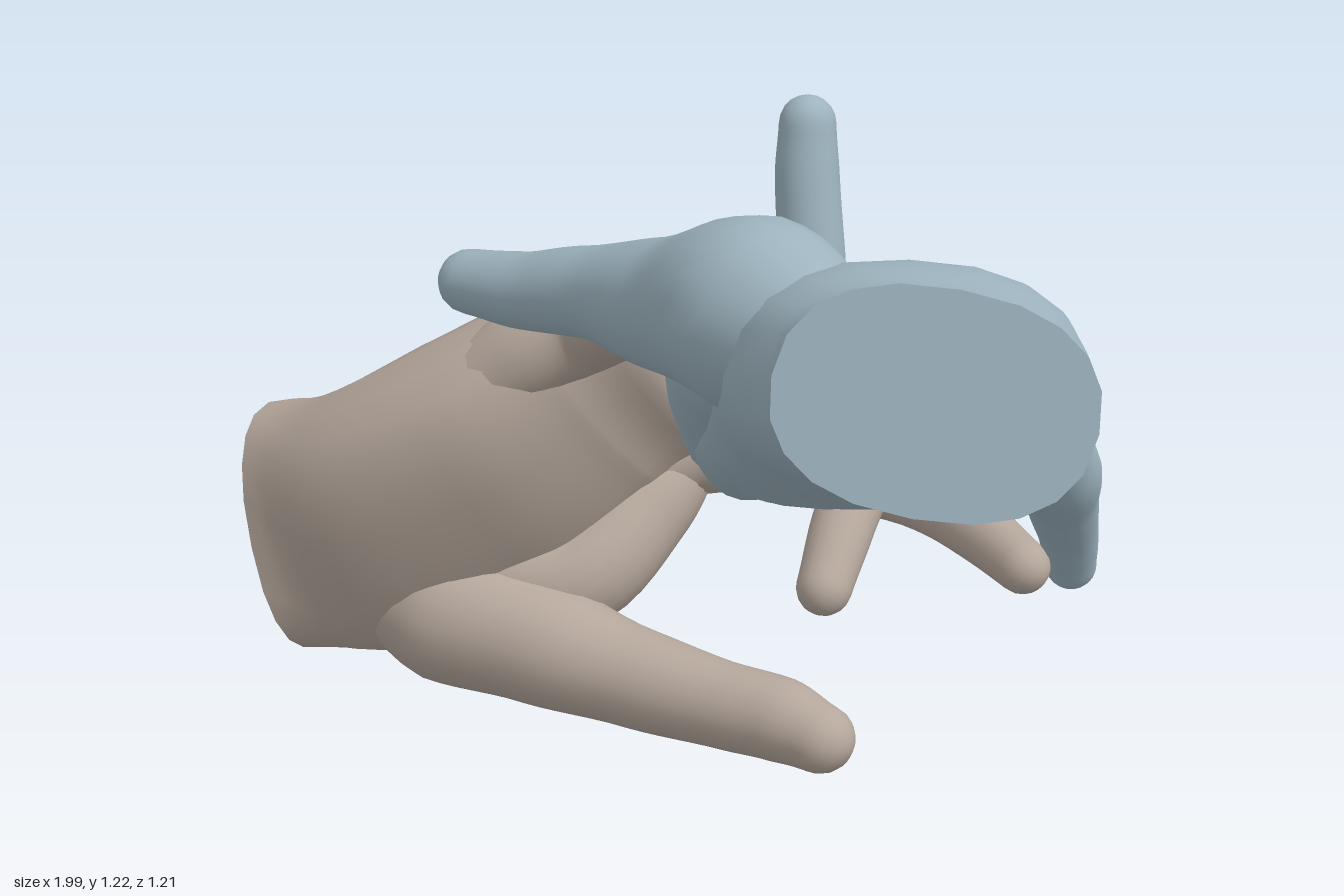
import * as THREE from 'three';

const SIDES = 20;
const vec = (p) => new THREE.Vector3(p[0], p[1], p[2]);
const spline = (pts) => new THREE.CatmullRomCurve3(pts.map(vec));

// smooth interpolation of a list of numbers, t from 0 to 1
function blend(values, t) {
  const s = t * (values.length - 1);
  const i = Math.min(Math.floor(s), values.length - 2);
  const k = s - i;
  return THREE.MathUtils.lerp(values[i], values[i + 1], k * k * (3 - 2 * k) * 0.5 + k * 0.5);
}

// one closed ring around a centre, spanned by two half-axes
function ring(centre, u, v, power = 1) {
  const bend = (a) => Math.sign(a) * Math.pow(Math.abs(a), power);
  return Array.from({ length: SIDES }, (_, j) => {
    const a = (j / SIDES) * Math.PI * 2;
    return centre.clone().addScaledVector(u, bend(Math.cos(a))).addScaledVector(v, bend(Math.sin(a)));
  });
}

// skin over rings: sharp-edged cap at the start, smooth pole at the end
function skin(rings, startCentre, pole) {
  const pos = [];
  const index = [];
  rings.flat().forEach((p) => pos.push(p.x, p.y, p.z));
  const n = rings.length;
  for (let i = 0; i < n - 1; i++) {
    for (let j = 0; j < SIDES; j++) {
      const a = i * SIDES + j;
      const b = i * SIDES + ((j + 1) % SIDES);
      index.push(a, b, a + SIDES, b, b + SIDES, a + SIDES);
    }
  }
  const capStart = n * SIDES;
  rings[0].forEach((p) => pos.push(p.x, p.y, p.z));
  pos.push(...startCentre.toArray(), ...pole.toArray());
  const centreId = capStart + SIDES;
  for (let j = 0; j < SIDES; j++) {
    const k = (j + 1) % SIDES;
    index.push(centreId, capStart + k, capStart + j);
    index.push((n - 1) * SIDES + j, (n - 1) * SIDES + k, centreId + 1);
  }
  const g = new THREE.BufferGeometry();
  g.setAttribute('position', new THREE.Float32BufferAttribute(pos, 3));
  g.setIndex(index);
  g.computeVertexNormals();
  return g;
}

// tapered digit through joints [x, y, z, radius], rounded at both ends
function digitGeometry(joints) {
  const curve = spline(joints);
  const radii = joints.map((p) => p[3]);
  const steps = joints.length * 5;
  const rings = [];
  const u = new THREE.Vector3(0.3, 0.5, 0.8);
  let f, centre, r;
  const addRing = (angle) => {
    const c = centre.clone().addScaledVector(f, r * Math.sin(angle));
    const size = r * Math.cos(angle);
    rings.push(ring(c, u.clone().multiplyScalar(size), f.clone().cross(u).multiplyScalar(size)));
  };
  for (let i = 0; i <= steps; i++) {
    const t = i / steps;
    f = curve.getTangent(t);
    u.addScaledVector(f, -u.dot(f)).normalize();
    centre = curve.getPoint(t);
    r = blend(radii, t);
    if (i === 0) for (let k = -4; k < 0; k++) addRing((k / 5) * Math.PI / 2);
    addRing(0);
  }
  for (let k = 1; k < 5; k++) addRing((k / 5) * Math.PI / 2);
  const base = curve.getPoint(0).addScaledVector(curve.getTangent(0), -radii[0]);
  return skin(rings, base, centre.clone().addScaledVector(f, r));
}

// palm between the little-finger edge and the index edge, from wrist to knuckles
function palmGeometry({ outer, inner, thick }) {
  const a = spline(outer);
  const b = spline(inner);
  const mid = (t) => a.getPoint(t).add(b.getPoint(t)).multiplyScalar(0.5);
  const rings = [];
  const steps = 24;
  let c, w, n, f;
  for (let i = 0; i <= steps; i++) {
    const t = i / steps;
    c = mid(t);
    f = mid(Math.min(t + 0.02, 1)).sub(mid(Math.max(t - 0.02, 0))).normalize();
    w = b.getPoint(t).sub(a.getPoint(t)).multiplyScalar(0.5);
    n = f.clone().cross(w).normalize().multiplyScalar(blend(thick, t));
    rings.push(ring(c, w, n, 0.85));
  }
  // rounded knuckle end
  const depth = n.length() * 0.8;
  for (let k = 1; k < 5; k++) {
    const s = (k / 5) * Math.PI / 2;
    rings.push(ring(c.clone().addScaledVector(f, depth * Math.sin(s)),
      w.clone().multiplyScalar(0.75 + 0.25 * Math.cos(s)), n.clone().multiplyScalar(Math.cos(s)), 0.85));
  }
  return skin(rings, mid(0), c.clone().addScaledVector(f, depth));
}

const upperHand = {
  color: 0x9db3be,
  palm: {
    outer: [[1.0, 0.95, 0.24], [0.84, 0.95, 0.07], [0.71, 0.86, -0.08], [0.62, 0.74, -0.18], [0.56, 0.68, -0.22]],
    inner: [[0.67, 1.05, 0.6], [0.49, 0.99, 0.52], [0.29, 0.85, 0.36], [0.11, 0.69, 0.2], [0.05, 0.6, 0.08]],
    thick: [0.175, 0.185, 0.16, 0.12, 0.085],
  },
  digits: {
    thumb: [[0.66, 1.01, 0.4, 0.1], [0.43, 1.04, 0.38, 0.16], [0.2, 1.0, 0.35, 0.115],
      [0, 0.98, 0.35, 0.08], [-0.15, 0.955, 0.37, 0.068], [-0.27, 0.95, 0.39, 0.058]],
    thumbWeb: [[0.4, 0.97, 0.34, 0.12], [0.24, 0.87, 0.26, 0.105], [0.14, 0.72, 0.15, 0.09]],
    indexFinger: [[0.34, 0.83, 0.29, 0.08], [0.2, 0.73, 0.17, 0.1], [0.1, 0.65, 0.07, 0.092],
      [-0.01, 0.57, -0.06, 0.078], [-0.07, 0.53, -0.22, 0.065], [-0.1, 0.52, -0.38, 0.053]],
    middleFinger: [[0.44, 0.83, 0.2, 0.08], [0.32, 0.73, 0.06, 0.095], [0.2, 0.64, -0.06, 0.088], [0.08, 0.63, -0.14, 0.076],
      [0.04, 0.73, -0.17, 0.07], [0.02, 0.9, -0.18, 0.063], [-0.01, 1.08, -0.195, 0.06], [-0.02, 1.175, -0.205, 0.053]],
    ringFinger: [[0.55, 0.83, 0.07, 0.08], [0.46, 0.73, -0.1, 0.095], [0.36, 0.66, -0.21, 0.082], [0.2, 0.63, -0.35, 0.068],
      [0.05, 0.65, -0.47, 0.06], [-0.08, 0.68, -0.55, 0.052]],
    littleFinger: [[0.66, 0.85, 0, 0.07], [0.59, 0.73, -0.14, 0.085], [0.56, 0.65, -0.23, 0.08], [0.5, 0.55, -0.33, 0.066],
      [0.45, 0.44, -0.42, 0.055], [0.42, 0.36, -0.47, 0.048]],
  },
};

const lowerHand = {
  color: 0xb5a79c,
  palm: {
    outer: [[-0.95, 0.55, 0.36], [-0.71, 0.6, 0.42], [-0.5, 0.71, 0.33], [-0.37, 0.81, 0.19], [-0.27, 0.83, 0.09]],
    inner: [[-0.84, 0.06, 0.35], [-0.71, 0.08, 0.11], [-0.56, 0.24, -0.09], [-0.43, 0.4, -0.24], [-0.34, 0.46, -0.29]],
    thick: [0.17, 0.18, 0.18, 0.145, 0.095],
  },
  digits: {
    thumb: [[-0.78, 0.23, 0.27, 0.1], [-0.6, 0.17, 0.2, 0.155], [-0.4, 0.135, 0.14, 0.125], [-0.2, 0.105, 0.08, 0.098],
      [0, 0.095, 0.03, 0.083], [0.12, 0.095, 0, 0.08], [0.21, 0.085, -0.01, 0.066]],
    thumbWeb: [[-0.55, 0.22, 0.12, 0.13], [-0.41, 0.24, 0.03, 0.105], [-0.38, 0.36, -0.13, 0.1], [-0.38, 0.44, -0.22, 0.09]],
    indexFinger: [[-0.54, 0.34, 0, 0.1], [-0.42, 0.43, -0.16, 0.11], [-0.32, 0.46, -0.26, 0.095], [-0.15, 0.44, -0.36, 0.08],
      [0.08, 0.42, -0.42, 0.066], [0.25, 0.4, -0.4, 0.06], [0.4, 0.385, -0.35, 0.052]],
    middleFinger: [[-0.53, 0.42, 0.08, 0.1], [-0.43, 0.54, -0.06, 0.11], [-0.32, 0.61, -0.16, 0.092], [-0.1, 0.65, -0.23, 0.075],
      [0.08, 0.665, -0.24, 0.07], [0.18, 0.61, -0.16, 0.065], [0.24, 0.51, -0.03, 0.058], [0.28, 0.43, 0.06, 0.05]],
    ringFinger: [[-0.52, 0.55, 0.18, 0.1], [-0.4, 0.68, 0.04, 0.11], [-0.29, 0.75, -0.04, 0.09], [-0.1, 0.84, -0.06, 0.072],
      [0.1, 0.9, -0.03, 0.066], [0.28, 0.93, 0.02, 0.06], [0.39, 0.92, 0.05, 0.05]],
    littleFinger: [[-0.49, 0.64, 0.26, 0.08], [-0.38, 0.74, 0.17, 0.09], [-0.27, 0.8, 0.11, 0.082], [-0.1, 0.86, 0.16, 0.065],
      [0.04, 0.88, 0.21, 0.058], [0.14, 0.88, 0.25, 0.05]],
  },
};

function buildHand(name, { color, palm, digits }) {
  const hand = new THREE.Group();
  hand.name = name;
  const material = new THREE.MeshStandardMaterial({ color });
  const add = (part, geometry) => {
    const mesh = new THREE.Mesh(geometry, material);
    mesh.name = part;
    hand.add(mesh);
  };
  add('palm', palmGeometry(palm));
  for (const [part, joints] of Object.entries(digits)) add(part, digitGeometry(joints));
  return hand;
}

export function createModel() {
  const model = new THREE.Group();
  model.name = 'interlacedHands';
  model.add(buildHand('upperHand', upperHand), buildHand('lowerHand', lowerHand));
  return model;
}
